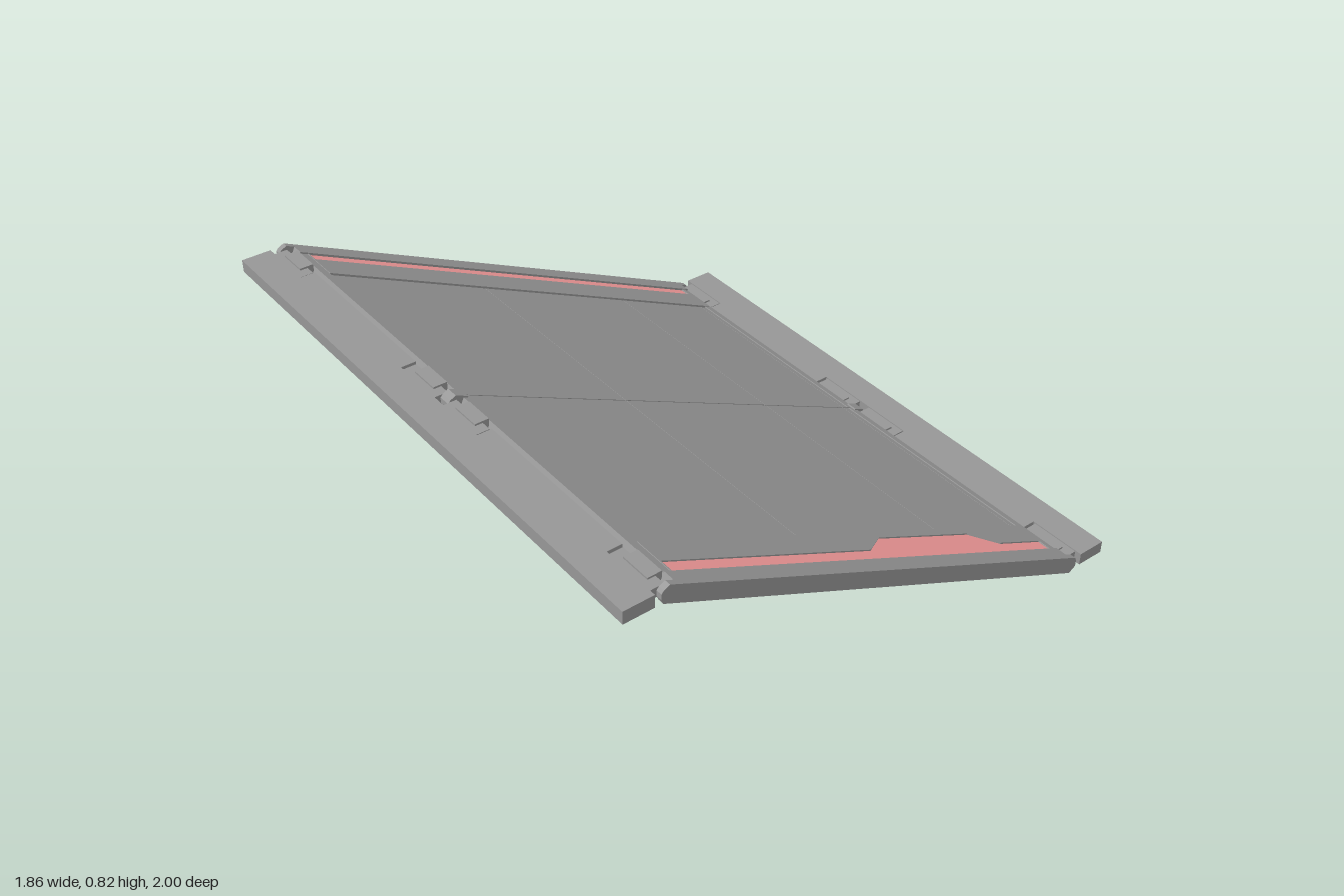
import * as THREE from 'three';

const grey = new THREE.MeshStandardMaterial({ color: 0x989898 });
const red = new THREE.MeshStandardMaterial({ color: 0xf69d9d });
const ANGLE = 0.4497;
const C = Math.cos(ANGLE);
const END = 0.855, T = 0.028; // half length and half thickness of the ramp

function add(parent, name, geometry, material = grey) {
  const mesh = new THREE.Mesh(geometry, material);
  mesh.name = name;
  parent.add(mesh);
  return mesh;
}

// box given by its limits
function box(parent, name, [x0, x1], [y0, y1], [z0, z1]) {
  const g = new THREE.BoxGeometry(Math.abs(x1 - x0), y1 - y0, Math.abs(z1 - z0));
  g.translate((x0 + x1) / 2, (y0 + y1) / 2, (z0 + z1) / 2);
  return add(parent, name, g);
}

// flat plate with an outline of [x, z] points between two heights
function plate(parent, name, outline, y0, y1, material) {
  const shape = new THREE.Shape(outline.map(([x, z]) => new THREE.Vector2(x, z)));
  const g = new THREE.ExtrudeGeometry(shape, { depth: y1 - y0, bevelEnabled: false });
  g.rotateX(Math.PI / 2).translate(0, y1, 0);
  return add(parent, name, g, material);
}

// chamfered hinge tab that closes the end of a beam
function tab(parent, end, z0, z1) {
  const profile = [[0.84, T], [0.88, T], [0.893, 0.016], [0.9, 0], [0.897, -0.012], [0.884, -T], [0.84, -T]];
  const shape = new THREE.Shape(profile.map(([x, y]) => new THREE.Vector2(x * end, y * end)));
  const g = new THREE.ExtrudeGeometry(shape, { depth: z1 - z0, bevelEnabled: false });
  g.translate(0, 0, z0);
  add(parent, 'hingeTab', g);
}

function halfRamp(s) {
  const half = new THREE.Group();
  half.name = s > 0 ? 'frontRampHalf' : 'backRampHalf';
  const Z = (a, b) => [a * s, b * s];

  // frame
  box(half, 'sideBeam', [-END, END], [-T, T], Z(0.94, 1));
  box(half, 'middleBeam', [-END, END], [-T, 0.018], Z(0.002, 0.045));
  for (const e of [-1, 1]) box(half, 'endBeam', [e * 0.825, e * END], [-T, 0.023], Z(0.002, 0.94));

  // thin deck with tread panels on top and ribs below the seams
  box(half, 'deck', [-0.825, 0.825], [0.006, 0.016], Z(0.045, 0.8));
  const seams = [-0.825, -0.22, 0.405, 0.8, 0.825];
  for (let i = 0; i < 4; i++) {
    box(half, 'treadPanel', [seams[i] + 0.0008, seams[i + 1] - 0.0008], [0.015, 0.0205], Z(0.002, 0.792));
  }
  for (const x of seams.slice(1, 3)) {
    box(half, 'crossRib', [x - 0.006, x + 0.006], [0, 0.007], Z(0.045, 0.8));
  }

  // side rail: floor, coloured strip and the cover beside it
  box(half, 'railFloor', [-0.825, 0.825], [-0.006, 0.012], Z(0.792, 0.941));
  const l = -0.74 / C, r = 0.76 / C;
  const inner = s > 0
    ? [[l, 0.89], [0, 0.89], [0.09 / C, 0.83], [0.47 / C, 0.83], [0.56 / C, 0.89], [r, 0.89]]
    : [[l, -0.9], [r, -0.9]];
  plate(half, 'colouredStrip', [...inner, [r, s * 0.941], [l, s * 0.941]], 0.011, 0.021, red);
  plate(half, 'railCover', [...inner, [r, s * 0.797], [l, s * 0.797]], 0.011, 0.025);
  for (const [x0, x1] of [[-0.826, l], [r, 0.826]]) {
    box(half, 'railEndCap', [x0, x1], [0.011, 0.025], Z(0.797, 0.941));
  }
  return half;
}

function flap(e, y0, y1) {
  const group = new THREE.Group();
  group.name = e > 0 ? 'lowerFlap' : 'upperFlap';
  // outline notched where the hinges sit
  const side = [[0.83, 1], [0.83, 0.8], [0.782, 0.8], [0.782, 0.2], [0.83, 0.2]];
  const back = side.map(([x, z]) => [x, -z]).reverse();
  const outline = [[0.928, -1], [0.928, 1], ...side, ...back].map(([x, z]) => [x * e, z]);
  plate(group, 'flapPlate', outline, y0, y1);
  // hinge leaves filling the notches beside the ramp tabs, each with a raised pin block
  for (const z of [-0.892, -0.108, 0.108, 0.892]) {
    box(group, 'hingeLeaf', [e * 0.785, e * 0.832], [y0 + 0.006, y1 - 0.004], [z - 0.085, z + 0.085]);
    box(group, 'hingePinBlock', [e * 0.765, e * 0.81], [y0 + 0.008, y1 + 0.002], [z - 0.05, z + 0.05]);
  }
  return group;
}

export function createModel() {
  const model = new THREE.Group();
  model.name = 'foldingRamp';

  const ramp = new THREE.Group();
  ramp.name = 'ramp';
  ramp.rotation.z = -ANGLE;
  ramp.position.y = 0.4125;
  ramp.add(halfRamp(1), halfRamp(-1));
  // shallow closed groove between the halves
  box(ramp, 'middleSeam', [-END, END], [-T, 0.017], [-0.002, 0.002]);
  for (const e of [-1, 1]) {
    tab(ramp, e, -1, -0.98);
    tab(ramp, e, -0.02, 0.02);
    tab(ramp, e, 0.98, 1);
  }
  model.add(ramp, flap(-1, 0.772, 0.814), flap(1, 0.014, 0.056));
  return model;
}
